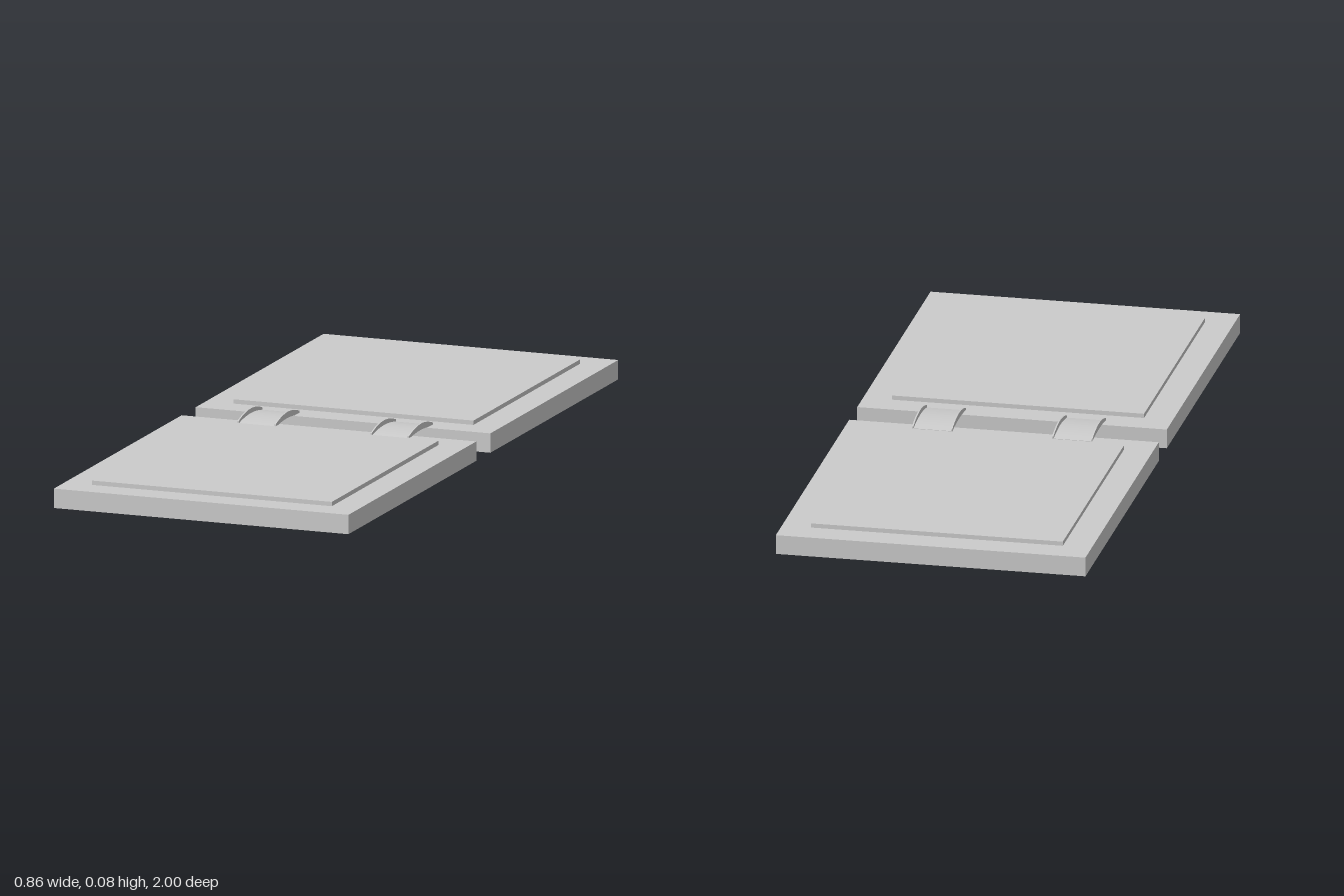
import * as THREE from 'three';

const grey = new THREE.MeshStandardMaterial({ color: 0xcccccc, flatShading: true });

function box(name, w, h, d, x, y, z) {
  const mesh = new THREE.Mesh(new THREE.BoxGeometry(w, h, d), grey);
  mesh.name = name;
  mesh.position.set(x, y, z);
  return mesh;
}

// Arched strip in the y-z plane, extruded to the given width across x
function arch(name, half, endLow, endHigh, midLow, midHigh, width, x) {
  const shape = new THREE.Shape();
  shape.moveTo(-half, endLow);
  shape.lineTo(-half, endHigh);
  shape.quadraticCurveTo(0, 2 * midHigh - endHigh, half, endHigh);
  shape.lineTo(half, endLow);
  shape.quadraticCurveTo(0, 2 * midLow - endLow, -half, endLow);
  const geo = new THREE.ExtrudeGeometry(shape, { depth: width, bevelEnabled: false, curveSegments: 12 });
  geo.translate(0, 0, -width / 2);
  geo.rotateY(-Math.PI / 2);
  const mesh = new THREE.Mesh(geo, grey);
  mesh.name = name;
  mesh.position.x = x;
  return mesh;
}

export function createModel() {
  const model = new THREE.Group();
  model.name = 'hingedPanels';

  // Two slabs, each with a raised inner panel
  for (const [label, s] of [['front', 1], ['back', -1]]) {
    const leaf = new THREE.Group();
    leaf.name = label + 'Leaf';
    leaf.add(box('slab', 0.86, 0.054, 0.948, 0, 0.027, s * 0.526));
    leaf.add(box('raisedPanel', 0.7, 0.016, 0.79, 0, 0.058, s * 0.525));
    model.add(leaf);
  }

  // Two connecting straps, each edged by a pair of thin arched ribs
  for (const [label, x] of [['left', 0.192], ['right', -0.197]]) {
    const hinge = new THREE.Group();
    hinge.name = label + 'Hinge';
    hinge.add(arch('strap', 0.086, 0.050, 0.055, 0.058, 0.064, 0.106, x));
    for (const s of [-1, 1]) {
      hinge.add(arch('rib', 0.088, 0.055, 0.061, 0.061, 0.077, 0.004, x + s * 0.054));
    }
    model.add(hinge);
  }
  return model;
}
